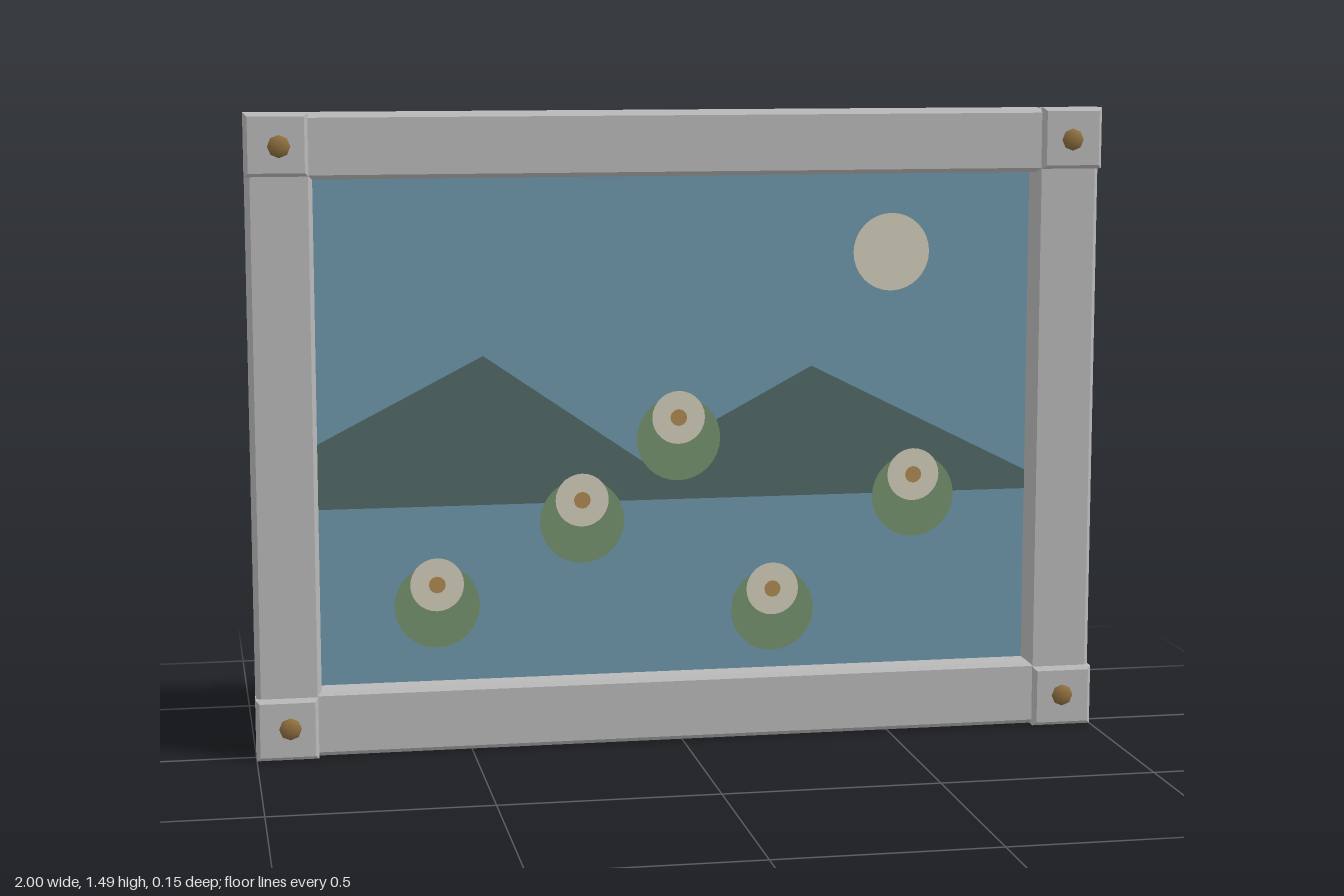
import * as THREE from 'three';

const material = (name, color) => {
  const m = new THREE.MeshStandardMaterial({ color });
  m.name = name;
  return m;
};

// Closed rectangular outline
function rect(Type, x0, y0, x1, y1) {
  const p = new Type();
  p.moveTo(x0, y0);
  p.lineTo(x1, y0);
  p.lineTo(x1, y1);
  p.lineTo(x0, y1);
  p.closePath();
  return p;
}

// Extrude between two depths with a chamfer on every edge
function chamfered(shape, back, front, b) {
  const geo = new THREE.ExtrudeGeometry(shape, {
    depth: front - back - 2 * b, bevelEnabled: true, bevelSize: b, bevelThickness: b, bevelSegments: 1,
  });
  return geo.translate(0, 0, back + b);
}

export function createModel() {
  const group = new THREE.Group();
  const grey = material('frame grey', 0xbababa);
  const brass = material('brass', 0x8f7040);
  const blue = material('water blue', 0x6f98ac);
  const backing = material('pale backing', 0xbdd1d0);
  const hill = material('hill green grey', 0x526a67);
  const leaf = material('leaf green', 0x74936e);
  const cream = material('cream', 0xd3cdbb);
  const amber = material('amber', 0xb08a52);

  const add = (name, geo, mat, x = 0, y = 0, z = 0) => {
    const mesh = new THREE.Mesh(geo, mat);
    mesh.name = name;
    mesh.position.set(x, y, z);
    group.add(mesh);
    return mesh;
  };

  // Frame with a rectangular opening
  const H = 1.486, b = 0.01;
  const outline = rect(THREE.Shape, -0.998 + b, 0.002 + b, 0.998 - b, H - 0.002 - b);
  outline.holes.push(rect(THREE.Path, -0.848 - b, 0.155 - b, 0.848 + b, 1.335 + b));
  add('frame', chamfered(outline, -0.073, 0.028, b), grey);

  // Raised corner blocks with flattened brass studs
  const c = 0.008;
  const blockShape = rect(THREE.Shape, -0.0715 + c, -0.0715 + c, 0.0715 - c, 0.0715 - c);
  const blockGeo = chamfered(blockShape, -0.02, 0.045, c);
  const studGeo = new THREE.SphereGeometry(0.026, 8, 6).rotateX(Math.PI / 2).scale(1, 1, 0.54);
  for (const sx of [-1, 1]) {
    for (const top of [false, true]) {
      add('cornerBlock', blockGeo, grey, sx * 0.9285, top ? H - 0.0715 : 0.0715);
      add('cornerStud', studGeo, brass, sx * 0.923, top ? 1.412 : 0.078, 0.06);
    }
  }

  // Picture panel and its back cover
  add('picturePanel', new THREE.BoxGeometry(1.72, 1.2, 0.004), blue, 0, 0.745, -0.04);
  add('backCover', new THREE.BoxGeometry(1.72, 1.2, 0.004), backing, 0, 0.745, -0.044);

  // Painted scene, layered just in front of the panel
  const layer = (n) => -0.038 + n * 0.002;
  const ridge = [[-0.85, 0.57], [0.85, 0.57], [0.85, 0.615], [0.32, 0.88], [-0.086, 0.663], [-0.46, 0.92], [-0.85, 0.72]];
  const hills = new THREE.Shape(ridge.map(([x, y]) => new THREE.Vector2(x, y)));
  add('hills', new THREE.ShapeGeometry(hills), hill, 0, 0, layer(1));
  add('sun', new THREE.CircleGeometry(0.092, 32), cream, 0.512, 1.147, layer(1));

  const padGeo = new THREE.CircleGeometry(0.1, 32);
  const flowerGeo = new THREE.CircleGeometry(0.063, 28);
  const heartGeo = new THREE.CircleGeometry(0.02, 12);
  for (const [x, y] of [[-0.573, 0.335], [-0.23, 0.525], [0, 0.715], [0.227, 0.297], [0.57, 0.563]]) {
    add('leafPad', padGeo, leaf, x, y, layer(2));
    add('flower', flowerGeo, cream, x, y + 0.05, layer(3));
    add('flowerHeart', heartGeo, amber, x, y + 0.05, layer(4));
  }
  return group;
}
